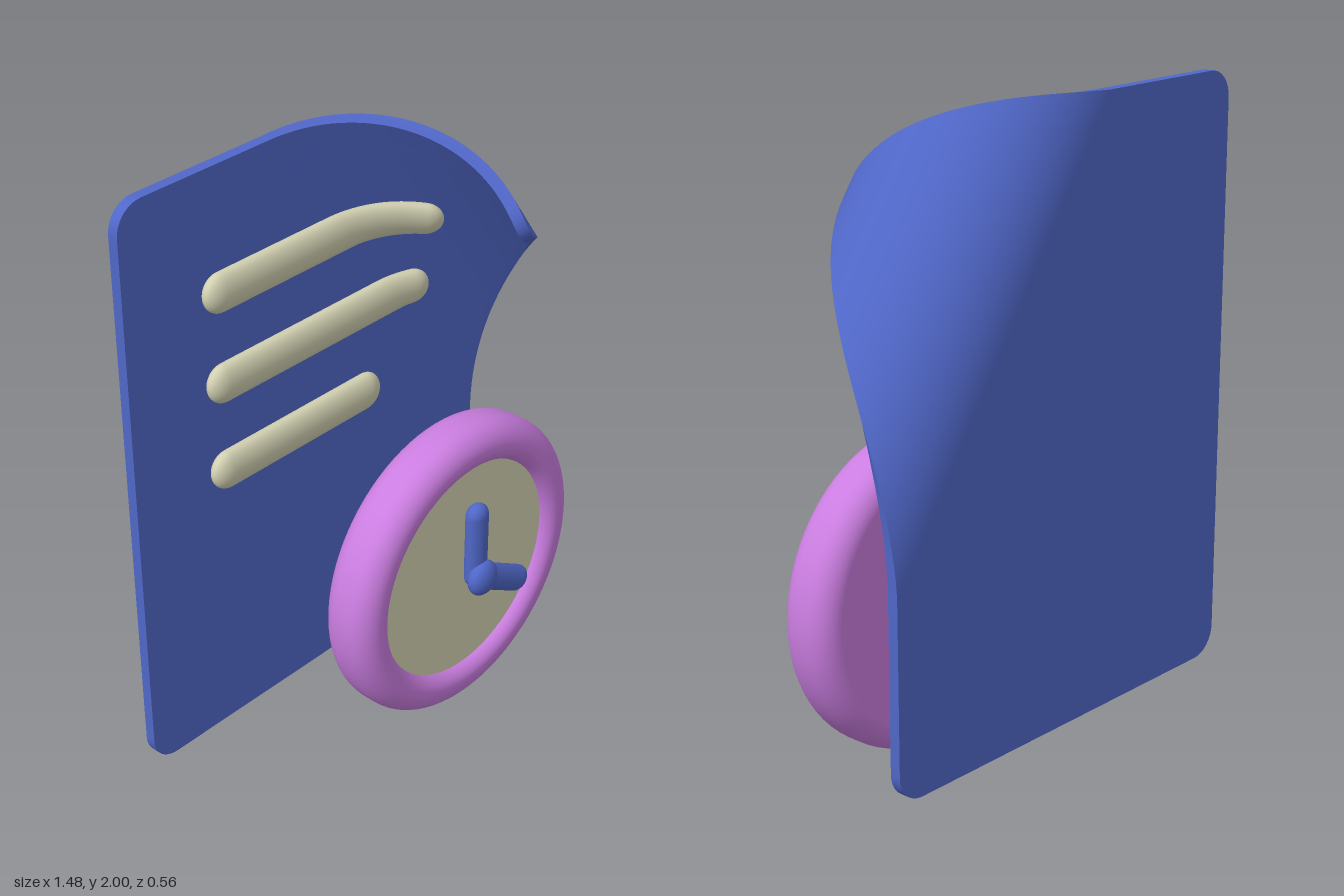
import * as THREE from 'three';

const mat = (name, color) => Object.assign(new THREE.MeshStandardMaterial({ color }), { name });

// Rolls everything beyond a diagonal line forward around a cylinder
const N = new THREE.Vector2(0.82, 0.572);
const BEND_START = 1.008, AXIS_Z = 0.055, ROLL = 0.3;
function curl(geo) {
  const p = geo.attributes.position;
  for (let i = 0; i < p.count; i++) {
    const x = p.getX(i), y = p.getY(i), z = p.getZ(i);
    const d = N.x * x + N.y * y - BEND_START;
    if (d <= 0) continue;
    const a = d / ROLL, r = AXIS_Z - z, shift = r * Math.sin(a) - d;
    p.setXYZ(i, x + N.x * shift, y + N.y * shift, AXIS_Z - r * Math.cos(a));
  }
  geo.computeVertexNormals();
  return geo;
}

// Rounded sheet: a gridded box whose rows narrow along the corner arcs
function pageGeometry() {
  const left = -0.74, right = 0.727, bottom = 0.09, top = 2, r = 0.09;
  const C = 8, M = 44, rows = M + 2 * C;
  const geo = new THREE.BoxGeometry(1, 1, 0.035, 56, rows, 1);
  const p = geo.attributes.position;
  for (let i = 0; i < p.count; i++) {
    const row = Math.round((p.getY(i) + 0.5) * rows);
    let y, inset = 0;
    const edge = Math.min(row, rows - row);
    if (edge < C) {
      const a = (edge / C) * Math.PI / 2;
      const h = r * (1 - Math.cos(a));
      inset = r * (1 - Math.sin(a));
      y = row < C ? bottom + h : top - h;
    } else {
      y = bottom + r + ((row - C) / M) * (top - bottom - 2 * r);
    }
    const x = THREE.MathUtils.lerp(left + inset, right - inset, p.getX(i) + 0.5);
    p.setXYZ(i, x, y, p.getZ(i) - 0.2625);
  }
  return curl(geo);
}

// Flattened capsule between two points in the xy plane
function pill(x0, y0, x1, y1, z, radius, depth) {
  const dx = x1 - x0, dy = y1 - y0;
  const geo = new THREE.CapsuleGeometry(radius, Math.hypot(dx, dy), 10, 28, 28);
  geo.scale(1, 1, depth / radius);
  geo.rotateZ(Math.atan2(dy, dx) - Math.PI / 2);
  geo.translate((x0 + x1) / 2, (y0 + y1) / 2, z);
  return geo;
}

export function createModel() {
  const model = new THREE.Group();
  const blue = mat('blue', 0x5067c8);
  const cream = mat('cream', 0xd2d1b2);
  const pink = mat('pink', 0xca7de0);
  const add = (name, geo, material, parent = model) => {
    const mesh = new THREE.Mesh(geo, material);
    mesh.name = name;
    parent.add(mesh);
    return mesh;
  };

  // Sheet with curled corner
  add('page', pageGeometry(), blue);

  // Text bars follow the curl of the sheet
  [[1.632, 0.455], [1.338, 0.452], [1.043, 0.235]].forEach(([y, end], i) => {
    const r = 0.063;
    add('textLine' + (i + 1), curl(pill(-0.475 + r, y, end - r, y, -0.212, r, 0.034)), cream);
  });

  // Clock
  const clock = new THREE.Group();
  clock.name = 'clock';
  clock.position.set(0.235, 0.515, 0);
  model.add(clock);

  // Rim with a closed back, turned around the z axis
  const R = 0.505, back = 0.005, front = 0.195, round = 0.075, inner = 0.37, lip = 0.05, face = 0.15;
  const profile = new THREE.Path();
  profile.moveTo(0, back);
  profile.lineTo(R - round, back);
  profile.absarc(R - round, back + round, round, -Math.PI / 2, 0, false);
  profile.absarc(R - round, front - round, round, 0, Math.PI / 2, false);
  profile.absarc(inner + lip, front - lip, lip, Math.PI / 2, Math.PI, false);
  profile.lineTo(inner, face - 0.02);
  add('clockRim', new THREE.LatheGeometry(profile.getPoints(10), 80).rotateX(Math.PI / 2), pink, clock);
  add('clockFace', new THREE.CircleGeometry(inner + 0.005, 80).translate(0, 0, face + 0.01), cream, clock);

  // Hands and hub
  add('minuteHand', pill(0, 0, 0, 0.223, 0.204, 0.042, 0.032), blue, clock);
  add('hourHand', pill(0, 0, 0.187, -0.11, 0.217, 0.045, 0.032), blue, clock);
  add('hub', new THREE.SphereGeometry(0.06, 32, 20).scale(1, 1, 0.6).translate(0, 0, 0.233), blue, clock);

  // Rest the rim on the ground
  model.position.y = -0.005;
  return model;
}
